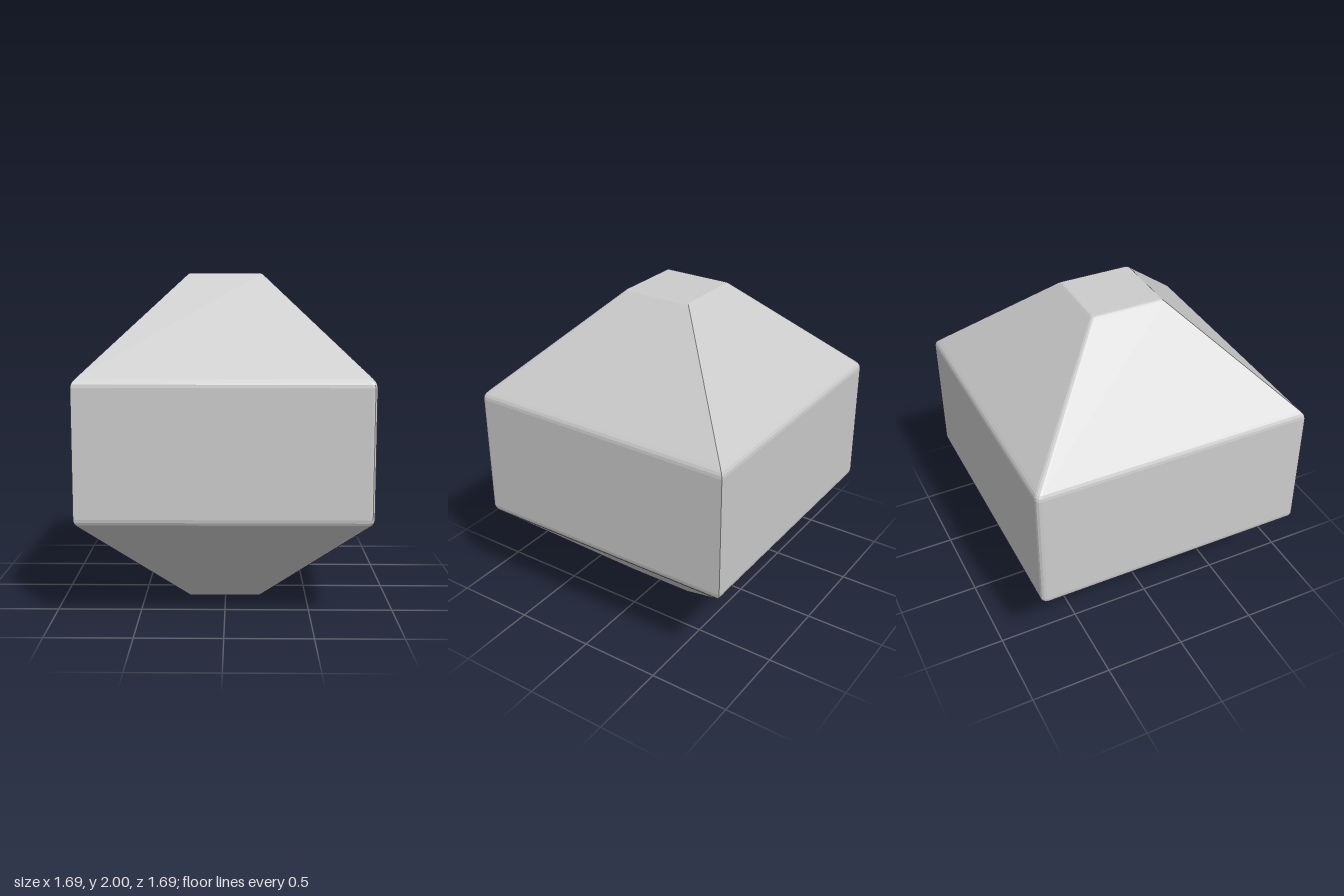
import * as THREE from 'three';

const ARC = 3; // facets across each rounded corner

// Square outline, rounded on one diagonal pair of corners and sharp on the other.
function outline(h, r) {
  const points = [];
  for (const s of [1, -1]) {
    for (let i = 0; i <= ARC; i++) {
      const t = (i / ARC) * Math.PI / 2;
      points.push([s * (h - r + r * Math.sin(t)), s * (h - r + r * Math.cos(t))]);
    }
    points.push([s * h, -s * h]);
  }
  return points;
}

// Stack the outlines into a closed, faceted solid.
function loft(sections) {
  const positions = [], index = [];
  const n = outline(1, 0.1).length;
  for (const [h, y, r] of sections) {
    for (const [x, z] of outline(h, r)) positions.push(x, y, z);
  }
  const last = (sections.length - 1) * n;
  const bottom = sections.length * n, top = bottom + 1;
  positions.push(0, sections[0][1], 0, 0, sections[sections.length - 1][1], 0);
  for (let j = 0; j < n; j++) {
    const k = (j + 1) % n;
    for (let a = 0; a < last; a += n) {
      index.push(a + j, a + k, a + n + k, a + j, a + n + k, a + n + j);
    }
    index.push(bottom, k, j, top, last + j, last + k);
  }
  const indexed = new THREE.BufferGeometry();
  indexed.setAttribute('position', new THREE.Float32BufferAttribute(positions, 3));
  indexed.setIndex(index);
  const geometry = indexed.toNonIndexed();
  geometry.computeVertexNormals();
  return geometry;
}

export function createModel() {
  const group = new THREE.Group();
  group.name = 'bevelledBlock';

  // Upper half: half width, height, corner radius; mirrored for the lower half.
  const upper = [
    [0.845, 1.37, 0.03], [0.842, 1.388, 0.03], [0.834, 1.404, 0.03], [0.82, 1.419, 0.03],
    [0.228, 1.99, 0.022], [0.22, 1.997, 0.02], [0.21, 2, 0.018],
  ];
  const lower = upper.map(([h, y, r]) => [h, 2 - y, r]).reverse();

  const material = new THREE.MeshStandardMaterial({ color: 0xcccccc, flatShading: true });
  const body = new THREE.Mesh(loft([...lower, ...upper]), material);
  body.name = 'body';
  group.add(body);
  return group;
}
